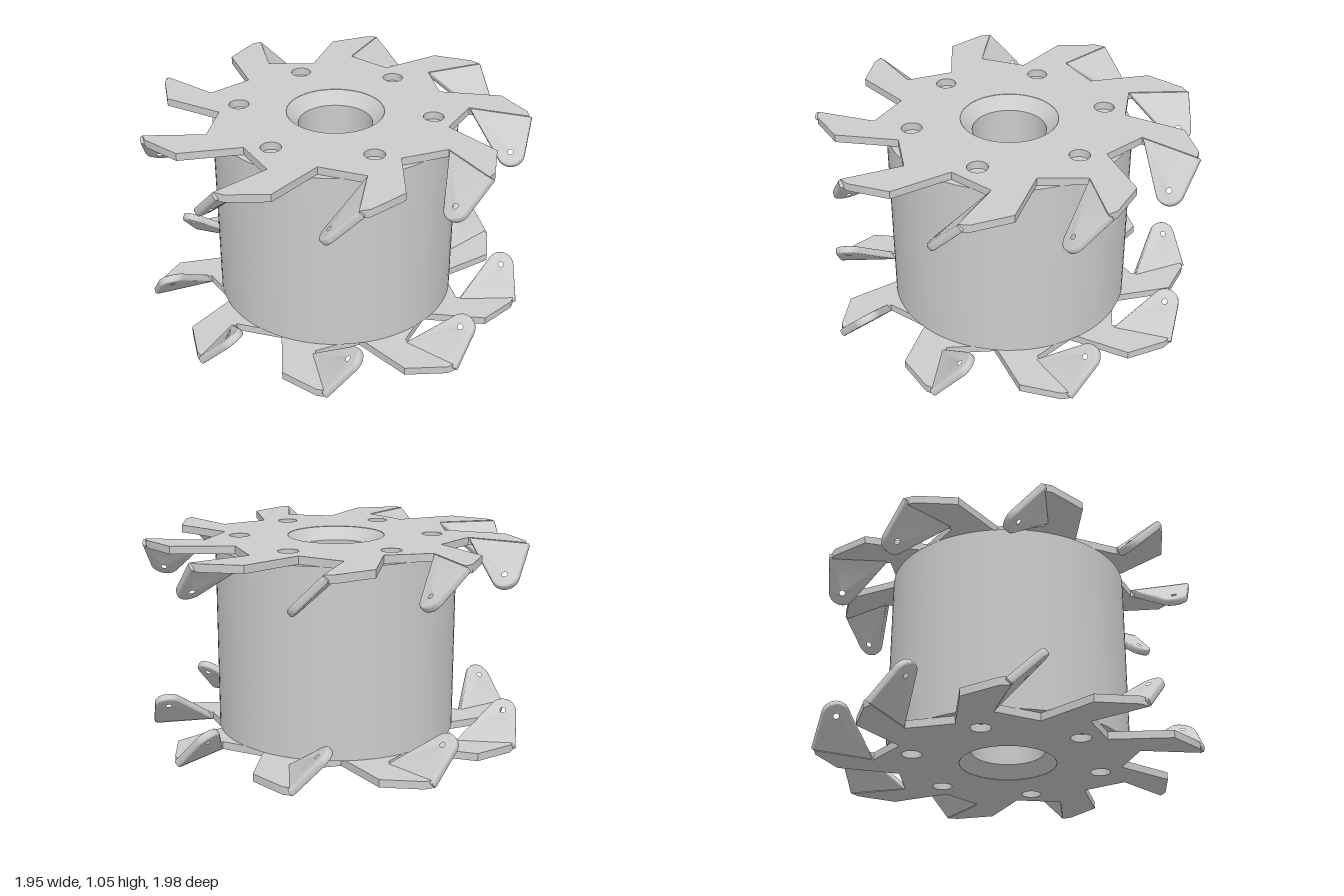
import * as THREE from 'three';
import { toCreasedNormals } from 'three/addons/utils/BufferGeometryUtils.js';

const ARMS = 9;
const STEP = (Math.PI * 2) / ARMS;
const THICK = 0.04;
const FOLD = 0.24; // sideways offset of the fold line on each arm
const material = new THREE.MeshStandardMaterial({ color: 0xcccccc });

function addMesh(parent, geometry, name) {
  const mesh = new THREE.Mesh(toCreasedNormals(geometry, 0.6), material);
  mesh.name = name;
  parent.add(mesh);
  return mesh;
}

function circlePath(x, y, r) {
  return new THREE.Path().absarc(x, y, r, 0, Math.PI * 2, true);
}

// Flat star plate with nine swept arms, a centre bore and six round recesses
function plateGeometry(holeTurn) {
  const arm = [[0, 0.59], [FOLD, 0.64], [FOLD, 0.95], [0.29, 0.93], [0.43, 0.77]];
  const points = [];
  for (let i = 0; i < ARMS; i++) {
    for (const [side, out] of arm) {
      const p = new THREE.Vector2(side, -out);
      points.push(p.rotateAround(new THREE.Vector2(), i * STEP));
    }
  }
  const shape = new THREE.Shape(points);
  shape.holes.push(circlePath(0, 0, 0.25));
  for (let i = 0; i < 6; i++) {
    const a = holeTurn + (i * Math.PI) / 3;
    shape.holes.push(circlePath(0.5 * Math.cos(a), 0.5 * Math.sin(a), 0.052));
  }
  const geo = new THREE.ExtrudeGeometry(shape, { depth: THICK, bevelEnabled: false, curveSegments: 32 });
  return geo.rotateX(-Math.PI / 2);
}

// Tapered lug with a rounded end and an eyelet, folded 45 degrees off the arm
function tabGeometry() {
  const bevel = 0.01;
  const shape = new THREE.Shape();
  shape.moveTo(0, 0.64);
  shape.lineTo(0, 0.96);
  shape.lineTo(0.2, 0.96);
  shape.absarc(0.2, 0.89, 0.07, Math.PI / 2, -0.895, true);
  shape.closePath();
  shape.holes.push(circlePath(0.2, 0.89, 0.024));
  const geo = new THREE.ExtrudeGeometry(shape, {
    depth: THICK - 2 * bevel, bevelSize: bevel, bevelThickness: bevel,
    bevelOffset: -bevel, bevelSegments: 3, curveSegments: 20,
  });
  geo.translate(0, 0, bevel - THICK);
  const c = Math.SQRT1_2;
  const fold = new THREE.Matrix4().makeBasis(
    new THREE.Vector3(-c, -c, 0), new THREE.Vector3(0, 0, 1), new THREE.Vector3(-c, c, 0));
  fold.setPosition(FOLD, THICK, 0);
  return geo.applyMatrix4(fold);
}

function createEndPlate(name, holeTurn) {
  const plate = new THREE.Group();
  plate.name = name;
  addMesh(plate, plateGeometry(holeTurn), 'starPlate');
  const tab = tabGeometry();
  for (let i = 0; i < ARMS; i++) {
    addMesh(plate, tab, 'eyeletTab').rotation.y = i * STEP;
  }
  return plate;
}

export function createModel() {
  const model = new THREE.Group();
  model.name = 'drumWithStarPlates';
  const body = new THREE.Group();
  body.name = 'body';
  body.position.x = -0.02;
  model.add(body);

  // Drum with a through bore that flares at both ends
  const profile = [
    [0.25, 0.002], [0.25, 0.04], [0.625, 0.04], [0.625, 1.01], [0.25, 1.01], [0.25, 1.048],
    [0.225, 1.02], [0.19, 0.985], [0.19, 0.065], [0.225, 0.03], [0.25, 0.002],
  ].map(([r, y]) => new THREE.Vector2(r, y));
  addMesh(body, new THREE.LatheGeometry(profile, 96), 'drum');

  // Upper plate, tabs folded down
  const upper = createEndPlate('upperPlate', 0);
  upper.position.y = 1.01;
  body.add(upper);

  // Lower plate, turned over and offset by half an arm, tabs folded up
  const lower = createEndPlate('lowerPlate', STEP / 2);
  lower.rotation.set(0, STEP / 2, Math.PI);
  lower.position.y = THICK;
  body.add(lower);

  return model;
}
